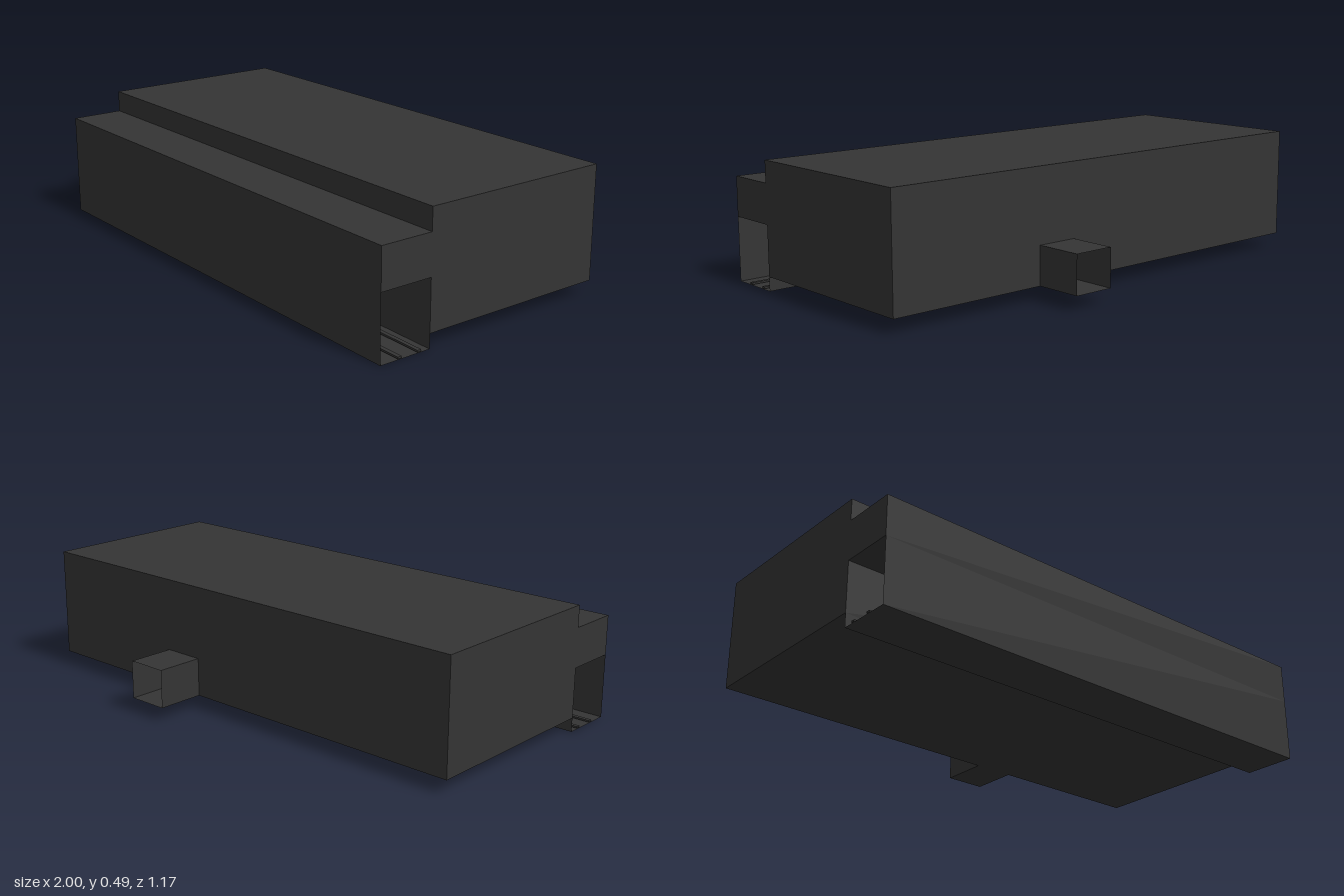
import * as THREE from 'three';

export function createModel() {
  const model = new THREE.Group();
  const charcoal = new THREE.MeshStandardMaterial({ color: 0x343434, side: THREE.DoubleSide });
  charcoal.name = 'charcoal';

  // Box given by its lower and upper corners
  const box = (name, [x0, y0, z0], [x1, y1, z1]) => {
    const mesh = new THREE.Mesh(new THREE.BoxGeometry(x1 - x0, y1 - y0, z1 - z0), charcoal);
    mesh.position.set((x0 + x1) / 2, (y0 + y1) / 2, (z0 + z1) / 2);
    mesh.name = name;
    model.add(mesh);
  };

  // Thin sheet centred at a point, turned by rx and ry
  const sheet = (name, w, h, [x, y, z], rx = 0, ry = 0) => {
    const mesh = new THREE.Mesh(new THREE.PlaneGeometry(w, h), charcoal);
    mesh.position.set(x, y, z);
    mesh.rotation.set(rx, ry, 0);
    mesh.name = name;
    model.add(mesh);
  };

  const front = 0.585, wall = 0.375, rear = -0.395;

  // Main housing and the ledge along its front
  box('body', [-1, 0.055, rear], [1, 0.49, wall]);
  box('ledge', [-1, 0.25, wall], [1, 0.405, front]);

  // Open-ended channel below the ledge
  sheet('frontPanel', 2, 0.25, [0, 0.125, front]);
  sheet('channelFlange', 2, 0.055, [0, 0.0275, wall], 0, Math.PI);
  sheet('channelFloor', 2, front - wall, [0, 0, (front + wall) / 2], Math.PI / 2);

  // Low rails on the channel floor
  for (const z of [0.42, 0.504]) box('rail', [-1, 0.003, z - 0.008], [1, 0.01, z + 0.008]);

  // Hollow socket on the back, open to the rear
  const x0 = 0.19, x1 = 0.355, y0 = 0.055, y1 = 0.205;
  const depth = 0.19, zc = rear - depth / 2, xc = (x0 + x1) / 2, yc = (y0 + y1) / 2;
  sheet('socketTop', x1 - x0, depth, [xc, y1, zc], -Math.PI / 2);
  sheet('socketBottom', x1 - x0, depth, [xc, y0, zc], Math.PI / 2);
  sheet('socketLeft', depth, y1 - y0, [x1, yc, zc], 0, Math.PI / 2);
  sheet('socketRight', depth, y1 - y0, [x0, yc, zc], 0, -Math.PI / 2);

  return model;
}
